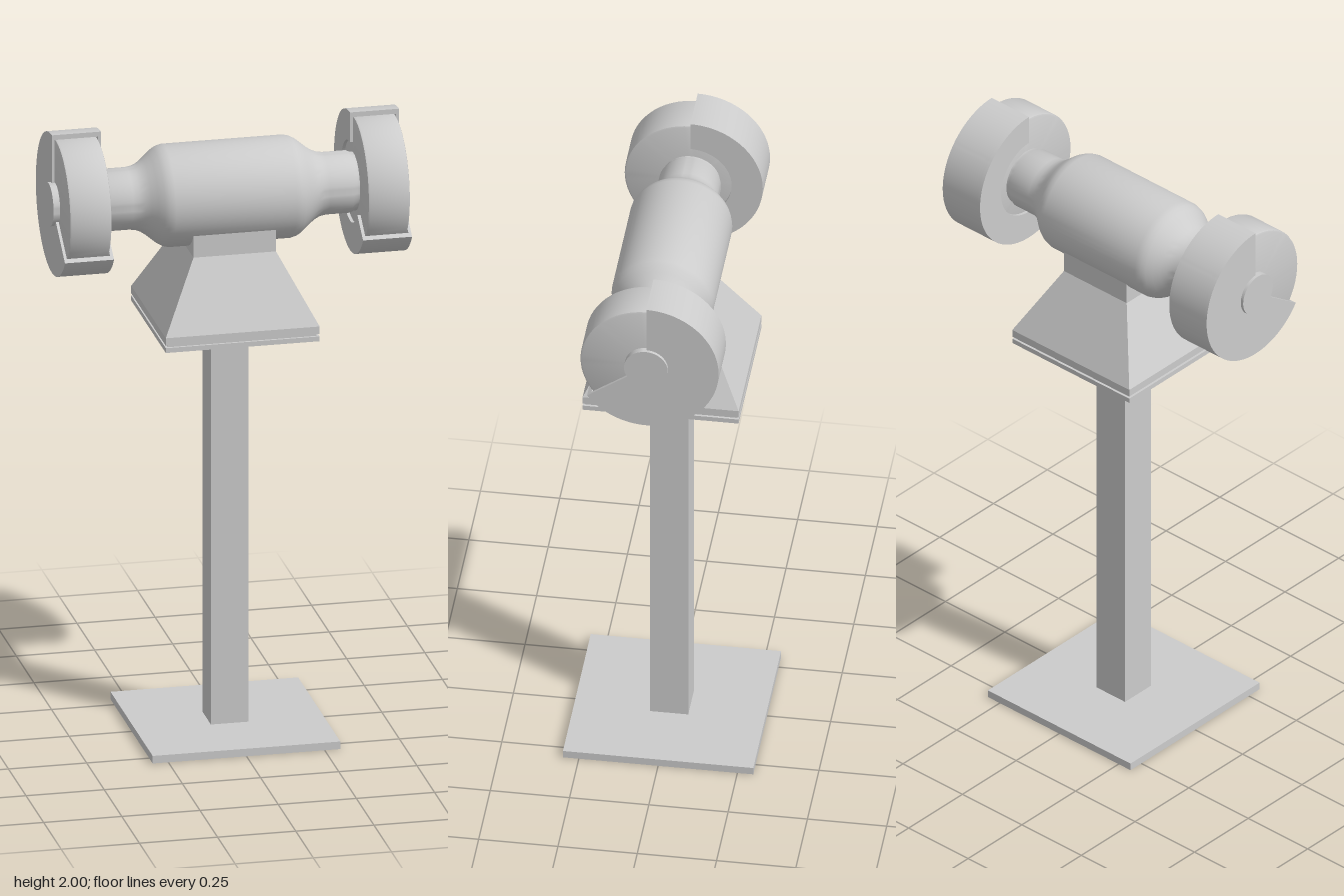
import * as THREE from 'three';
import { toCreasedNormals } from 'three/addons/utils/BufferGeometryUtils.js';

const AXIS_Y = 1.771;

export function createModel() {
  const model = new THREE.Group();
  model.name = 'pedestalGrinder';
  const solid = new THREE.MeshStandardMaterial({ color: 0xcccccc });
  const thin = new THREE.MeshStandardMaterial({ color: 0xcccccc, side: THREE.DoubleSide });

  const add = (name, geometry, material = solid, parent = model) => {
    const mesh = new THREE.Mesh(geometry, material);
    mesh.name = name;
    parent.add(mesh);
    return mesh;
  };

  // Square section between two heights, tapering from half-width h0 to h1
  const squareSection = (h0, h1, y0, y1, open = false) => {
    const g = new THREE.CylinderGeometry(h1 * Math.SQRT2, h0 * Math.SQRT2, y1 - y0, 4, 1, open);
    g.rotateY(Math.PI / 4).translate(0, (y0 + y1) / 2, 0);
    return toCreasedNormals(g, 0.3);
  };

  // Turned part along x, from [radius, x] points
  const turned = (points, segments = 64) => {
    const g = new THREE.LatheGeometry(points.map(([r, x]) => new THREE.Vector2(r, x)), segments);
    return toCreasedNormals(g.rotateZ(-Math.PI / 2), 0.6);
  };

  // Base: hollow plate, open underneath, with a hole for the tube
  const plate = new THREE.Shape([[-0.3, -0.3], [0.3, -0.3], [0.3, 0.3], [-0.3, 0.3]]
    .map(([x, y]) => new THREE.Vector2(x, y)));
  plate.holes.push(new THREE.Path([[-0.06, -0.06], [-0.06, 0.06], [0.06, 0.06], [0.06, -0.06]]
    .map(([x, y]) => new THREE.Vector2(x, y))));
  add('baseTop', new THREE.ShapeGeometry(plate).rotateX(-Math.PI / 2).translate(0, 0.025, 0), thin);
  add('baseRim', squareSection(0.3, 0.3, 0, 0.025, true), thin);

  // Hollow post
  add('post', squareSection(0.06, 0.06, 0.025, 1.34, true), thin);

  // Mounting plate, gasket and tapered pedestal
  add('mountPlate', squareSection(0.246, 0.246, 1.339, 1.355));
  add('gasket', squareSection(0.238, 0.238, 1.355, 1.363));
  add('pedestalFoot', squareSection(0.246, 0.246, 1.363, 1.388));
  add('pedestalTaper', squareSection(0.246, 0.132, 1.388, 1.606));
  add('pedestalNeck', squareSection(0.132, 0.132, 1.606, 1.72));

  // Everything that turns sits on the spindle line
  const head = new THREE.Group();
  head.name = 'grinderHead';
  head.position.y = AXIS_Y;
  model.add(head);

  // Motor housing: half profile from neck to barrel, mirrored
  const half = [[0, 0.412], [0.092, 0.412], [0.092, 0.402], [0.098, 0.39], [0.098, 0.315], [0.101, 0.295],
    [0.108, 0.278], [0.119, 0.262], [0.135, 0.243], [0.149, 0.226], [0.157, 0.212], [0.162, 0.193]];
  const profile = [...half.map(([r, x]) => [r, -x]), ...half.slice().reverse()];
  add('motorHousing', turned(profile), solid, head);

  // Guard slice: ring sector from the top round the back to the lower front
  const START = THREE.MathUtils.degToRad(-145);
  const guardSlice = (inner, outer, x0, x1) => {
    const s = new THREE.Shape();
    s.absarc(0, 0, outer, START, Math.PI / 2, false);
    s.absarc(0, 0, inner, Math.PI / 2, START, true);
    const g = new THREE.ExtrudeGeometry(s, { depth: Math.abs(x1 - x0), bevelEnabled: false, curveSegments: 48 });
    g.rotateY(Math.PI / 2).translate(Math.min(x0, x1), 0, 0);
    return toCreasedNormals(g, 0.5);
  };

  for (const [side, s] of [['left', 1], ['right', -1]]) {
    const wheel = new THREE.Group();
    wheel.name = side + 'WheelAssembly';
    head.add(wheel);

    // Grinding wheel with softened edges
    const stone = turned([[0, -0.067], [0.203, -0.067], [0.208, -0.065], [0.21, -0.06],
      [0.21, 0.06], [0.208, 0.065], [0.203, 0.067], [0, 0.067]]);
    add('grindingWheel', stone, solid, wheel).position.x = s * 0.477;

    // Guard: inner cheek, rim and outer cheek
    add('guardInnerCheek', guardSlice(0.13, 0.228, s * 0.398, s * 0.408), solid, wheel);
    add('guardRim', guardSlice(0.212, 0.228, s * 0.408, s * 0.546), solid, wheel);
    add('guardOuterCheek', guardSlice(0.069, 0.228, s * 0.546, s * 0.555), solid, wheel);

    // Spindle cap
    add('spindleCap', turned([[0, -0.02], [0.069, -0.02], [0.069, 0.02], [0, 0.02]], 48), solid, wheel)
      .position.x = s * 0.545;
  }
  return model;
}
